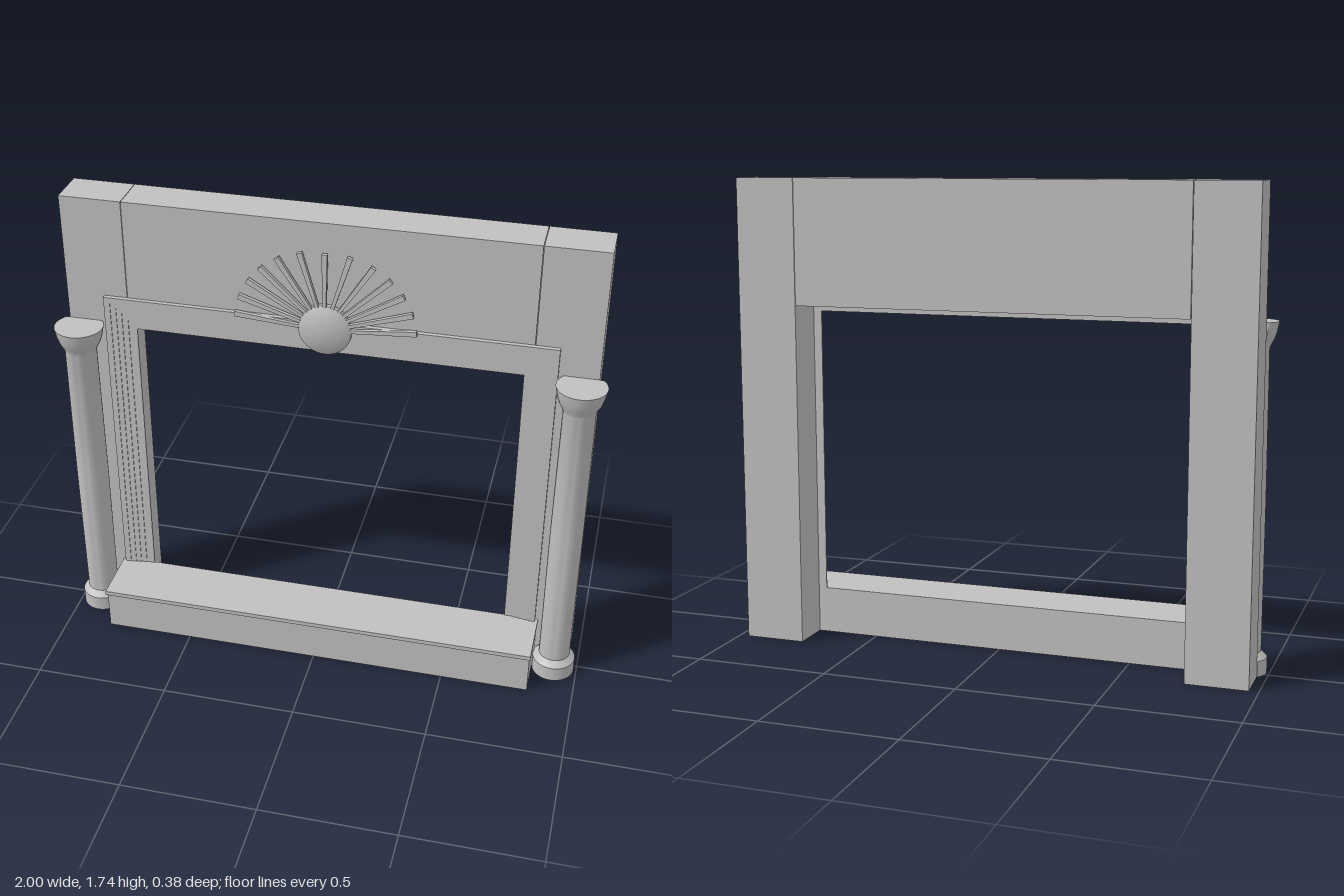
import * as THREE from 'three';
import { toCreasedNormals } from 'three/addons/utils/BufferGeometryUtils.js';

const stone = new THREE.MeshStandardMaterial({ color: 0xc0c0c0 });
stone.name = 'grey stone';

const WALL_FRONT = -0.035;
const WALL_BACK = -0.19;

function add(parent, name, geometry) {
  const mesh = new THREE.Mesh(geometry, stone);
  mesh.name = name;
  parent.add(mesh);
  return mesh;
}

// Box given by its limits on each axis
function block(parent, name, x0, x1, y0, y1, z0, z1) {
  const mesh = add(parent, name, new THREE.BoxGeometry(x1 - x0, y1 - y0, z1 - z0));
  mesh.position.set((x0 + x1) / 2, (y0 + y1) / 2, (z0 + z1) / 2);
  return mesh;
}

function lathe(points, segments) {
  return new THREE.LatheGeometry(points.map(([r, y]) => new THREE.Vector2(r, y)), segments);
}

// Round column whose back is cut flat against the wall
function columnGeometry(centreZ) {
  const geo = lathe([
    [0, 0], [0.08, 0], [0.08, 0.058], [0.062, 0.076], [0.058, 0.08],
    [0.06, 0.63], [0.058, 1.165], [0.064, 1.18], [0.075, 1.2],
    [0.083, 1.225], [0.088, 1.25], [0.09, 1.26], [0, 1.26],
  ], 40);
  const pos = geo.attributes.position;
  for (let i = 0; i < pos.count; i++) {
    pos.setZ(i, Math.max(pos.getZ(i), WALL_FRONT - centreZ));
  }
  return toCreasedNormals(geo, 0.6);
}

// One upside-down U of the moulding around the opening
function archBand(outerX, outerY, innerX, innerY, front) {
  const shape = new THREE.Shape();
  const path = [
    [-outerX, 0], [-innerX, 0], [-innerX, innerY], [innerX, innerY],
    [innerX, 0], [outerX, 0], [outerX, outerY], [-outerX, outerY],
  ];
  shape.setFromPoints(path.map(([x, y]) => new THREE.Vector2(x, y)));
  const geo = new THREE.ExtrudeGeometry(shape, { depth: front - WALL_FRONT, bevelEnabled: false });
  return geo.translate(0, 0, WALL_FRONT);
}

export function createModel() {
  const model = new THREE.Group();
  model.name = 'fireplaceSurround';

  // Wall: two jambs and the lintel
  block(model, 'leftJamb', 0.737, 0.965, 0, 1.742, WALL_BACK, WALL_FRONT);
  block(model, 'rightJamb', -0.965, -0.737, 0, 1.742, WALL_BACK, WALL_FRONT);
  block(model, 'lintel', -0.735, 0.735, 1.278, 1.742, WALL_BACK, WALL_FRONT);

  // Stepped moulding, receding toward the opening
  const steps = [
    [0.823, 1.367, -0.018], [0.8, 1.347, -0.021], [0.779, 1.326, -0.024],
    [0.759, 1.305, -0.027], [0.737, 1.278, -0.03], [0.705, 1.246, 0],
  ];
  const moulding = new THREE.Group();
  moulding.name = 'moulding';
  for (let i = 0; i < steps.length - 1; i++) {
    const [ox, oy, front] = steps[i];
    const [ix, iy] = steps[i + 1];
    add(moulding, 'mouldingBand', archBand(ox, oy, ix, iy, front));
  }
  model.add(moulding);

  // Hearth with a thin overhanging slab
  block(model, 'hearthBase', -0.83, 0.83, 0, 0.157, WALL_FRONT, 0.178);
  block(model, 'hearthSlab', -0.834, 0.834, 0.157, 0.174, WALL_FRONT, 0.19);

  // Columns
  const column = columnGeometry(0.022);
  for (const side of [1, -1]) {
    const name = side > 0 ? 'leftColumn' : 'rightColumn';
    add(model, name, column).position.set(side * 0.91, 0, 0.022);
  }

  // Sunburst: domed disc and a fan of rays, wider at the tips
  const sunburst = new THREE.Group();
  sunburst.name = 'sunburst';
  sunburst.position.y = 1.341;
  const disc = lathe([
    [0, -0.03], [0.096, -0.03], [0.096, -0.012], [0.087, -0.006],
    [0.05, 0.005], [0, 0.013],
  ], 40);
  add(sunburst, 'sunDisc', toCreasedNormals(disc.rotateX(Math.PI / 2), 0.5));

  const halfFan = [90, 73, 57, 43.5, 30.5, 17.5, 5];
  const fan = [...halfFan, ...halfFan.slice(1).map((a) => 180 - a)];
  for (const degrees of fan) {
    const a = THREE.MathUtils.degToRad(degrees);
    const inner = 0.092;
    const outer = 0.296 + 0.033 * Math.abs(Math.cos(a));
    const geo = new THREE.BoxGeometry(outer - inner, 0.02, 0.015);
    const pos = geo.attributes.position;
    for (let i = 0; i < pos.count; i++) {
      if (pos.getX(i) < 0) pos.setY(i, pos.getY(i) * 0.6);
    }
    geo.translate((inner + outer) / 2, 0, -0.0125);
    add(sunburst, 'sunRay', geo).rotation.z = a;
  }
  model.add(sunburst);

  return model;
}
